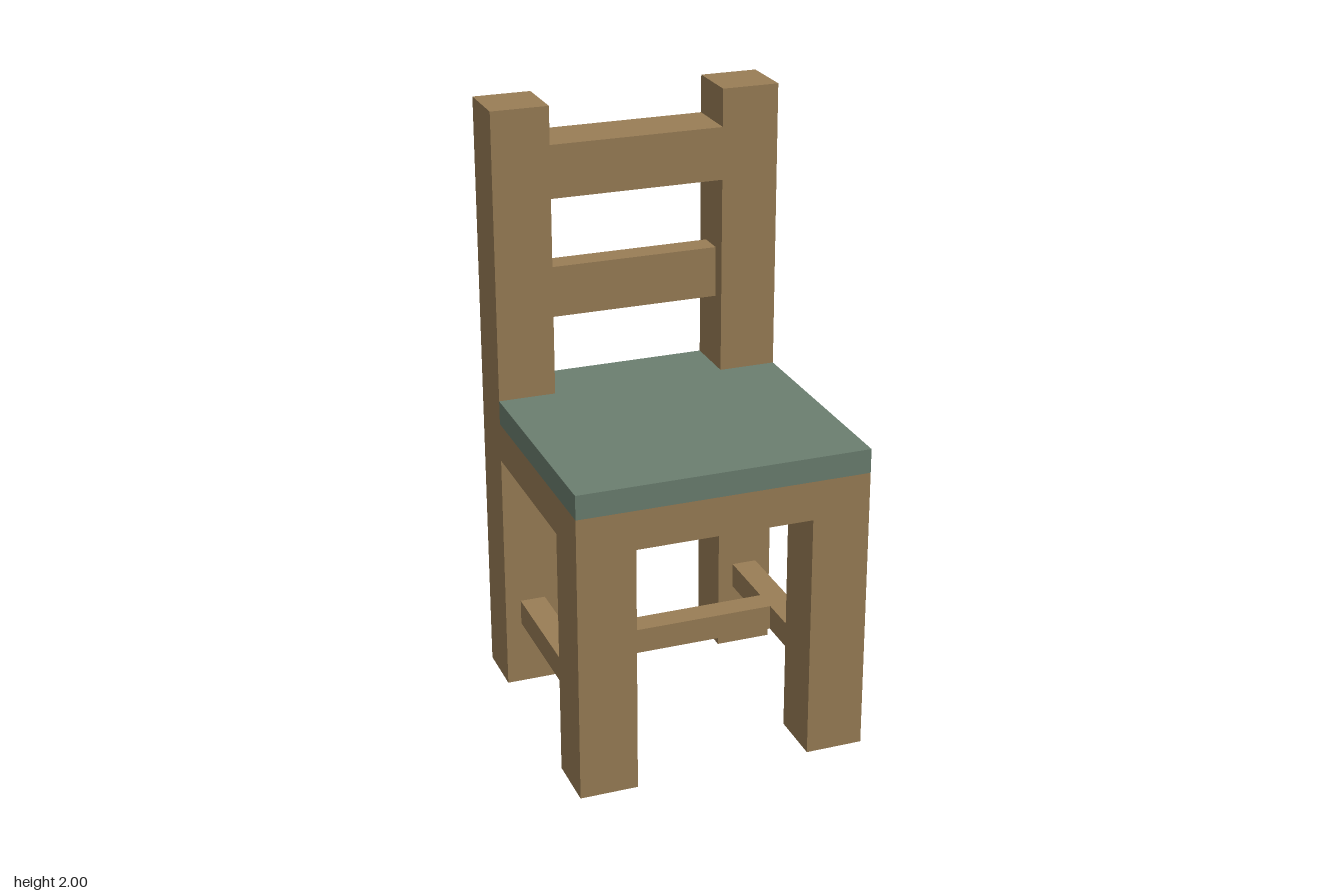
import * as THREE from 'three';

const wood = new THREE.MeshStandardMaterial({ color: 0x9a7e56 });
wood.name = 'wood';
const sage = new THREE.MeshStandardMaterial({ color: 0x6b7f70 });
sage.name = 'sage cushion';

const HALF = 0.48;              // half width and half depth of the chair
const POST = 0.19;              // side of the square posts
const INNER = HALF - POST;      // inner faces of the posts
const MID = HALF - POST / 2;    // centre lines of the posts
const BAR = 0.085;              // thickness of the slim bars

export function createModel() {
  const chair = new THREE.Group();
  chair.name = 'chair';

  // Box standing on y0 and reaching y1
  function box(name, w, d, x, y0, y1, z) {
    const mesh = new THREE.Mesh(new THREE.BoxGeometry(w, y1 - y0, d), wood);
    mesh.name = name;
    mesh.position.set(x, (y0 + y1) / 2, z);
    chair.add(mesh);
  }

  // Seat layer: a square slab notched around the two back posts
  function seatLayer(name, y0, y1, material) {
    const outline = new THREE.Shape([
      [-HALF, -HALF], [HALF, -HALF], [HALF, INNER], [INNER, INNER],
      [INNER, HALF], [-INNER, HALF], [-INNER, INNER], [-HALF, INNER],
    ].map(([x, y]) => new THREE.Vector2(x, y)));
    const geometry = new THREE.ExtrudeGeometry(outline, { depth: y1 - y0, bevelEnabled: false });
    geometry.rotateX(-Math.PI / 2);
    const mesh = new THREE.Mesh(geometry, material);
    mesh.name = name;
    mesh.position.y = y0;
    chair.add(mesh);
  }

  // Legs, back posts and side stretchers
  for (const [side, s] of [['left', 1], ['right', -1]]) {
    box(side + 'FrontLeg', POST, POST, s * MID, 0, 0.83, MID);
    box(side + 'BackPost', POST, POST, s * MID, 0, 2, -MID);
    box(side + 'Stretcher', BAR, 2 * INNER, s * MID, 0.22, 0.305, 0);
  }

  // Cross stretcher between the side stretchers
  box('crossStretcher', 2 * MID - BAR, BAR, 0, 0.22, 0.305, 0);

  // Seat
  seatLayer('seatBase', 0.83, 0.96, wood);
  seatLayer('seatCushion', 0.96, 1.04, sage);

  // Backrest rails
  box('middleRail', 2 * INNER, BAR, 0, 1.285, 1.455, -MID);
  box('topRail', 2 * INNER, POST, 0, 1.7, 1.875, -MID);

  return chair;
}
